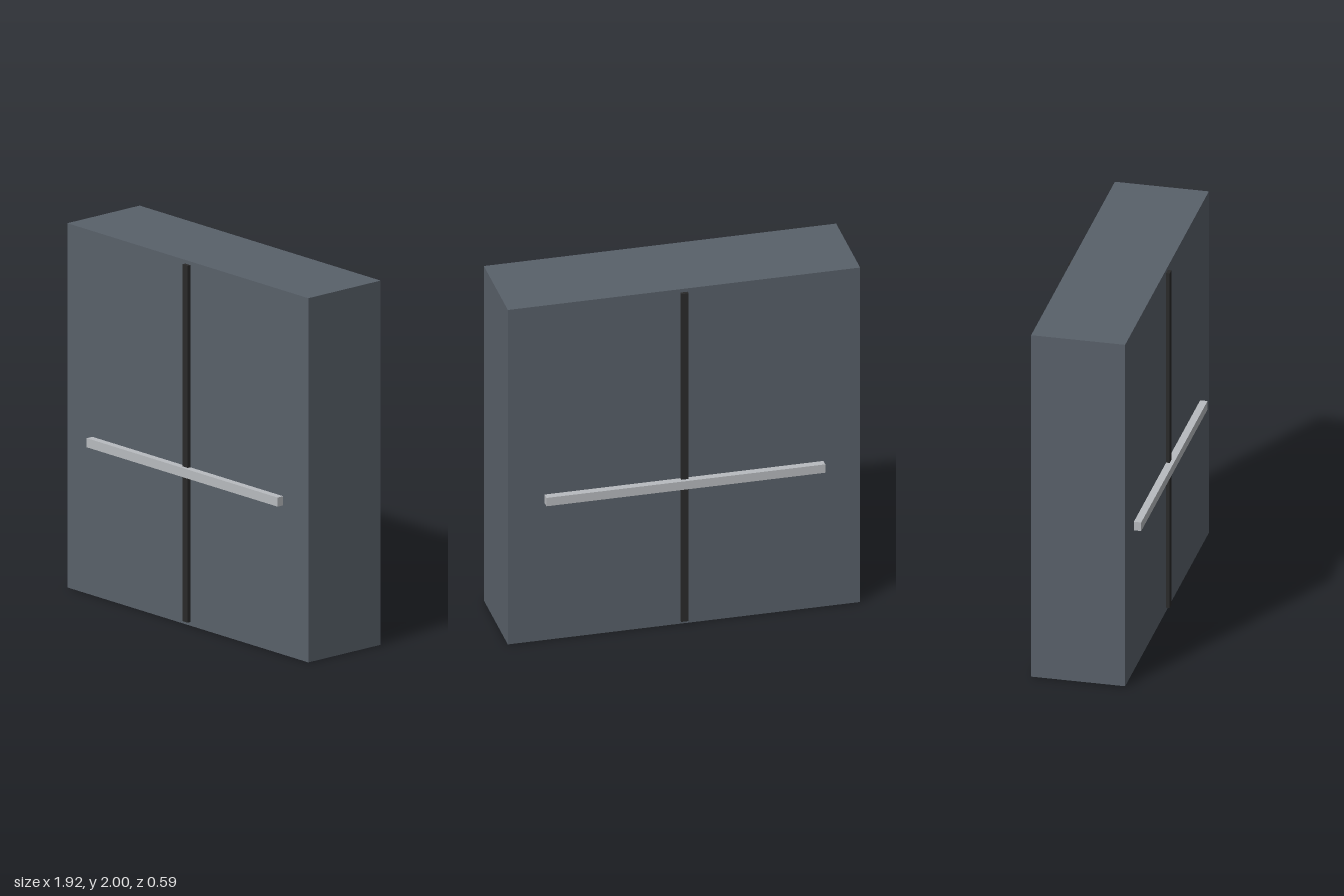
import * as THREE from 'three';

const BODY = { w: 1.92, h: 2, d: 0.51 };

function box(name, size, position, color) {
  const material = new THREE.MeshStandardMaterial({ color });
  const mesh = new THREE.Mesh(new THREE.BoxGeometry(...size), material);
  mesh.name = name;
  mesh.position.set(...position);
  return mesh;
}

export function createModel() {
  const model = new THREE.Group();
  model.name = 'doublePanelDoor';

  // Solid slab
  model.add(box('slab', [BODY.w, BODY.h, BODY.d], [0, BODY.h / 2, 0], 0x59616a));

  // Centre seam and push bar, mirrored on the front and back
  for (const [side, s] of [['front', 1], ['back', -1]]) {
    const face = BODY.d / 2;
    model.add(box(side + 'Seam', [0.04, 1.96, 0.02], [0, 1, s * (face + 0.009)], 0x2a2a2a));
    model.add(box(side + 'PushBar', [1.52, 0.05, 0.04], [0, 0.845, s * (face + 0.02)], 0xb8bbbf));
  }
  return model;
}
